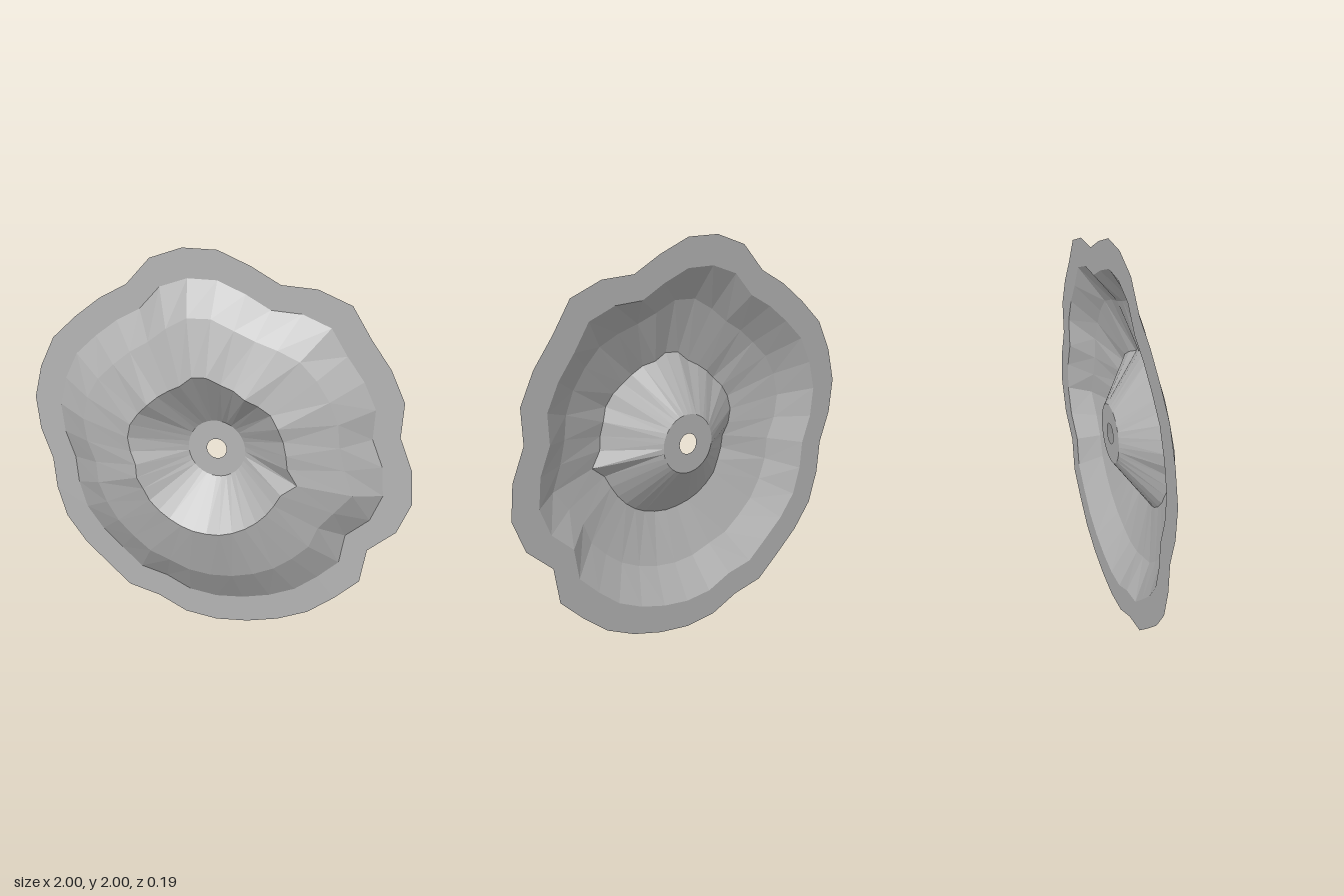
import * as THREE from 'three';

const N = 36;          // sides per ring, 10 degrees each, clockwise from the top
const CENTER_Y = 0.99;
const BASE_Z = -0.1;

// Radius of the ragged outer outline
const OUTLINE = [
  1.01, 0.957, 0.918, 0.986, 1.028, 0.987, 0.99, 0.99, 0.935,
  0.985, 1.014, 0.99, 0.914, 0.993, 0.987, 0.995, 0.99, 0.987,
  0.99, 0.985, 0.955, 0.99, 0.972, 0.98, 0.986, 0.962, 0.934,
  0.98, 1.016, 1.02, 1.017, 0.98, 0.958, 0.94, 1.012, 1.026,
];
// Radius of the raised rim
const RIM = [
  0.428, 0.402, 0.403, 0.394, 0.405, 0.42, 0.416, 0.41, 0.408,
  0.409, 0.465, 0.405, 0.4, 0.4, 0.4, 0.4, 0.4, 0.4,
  0.4, 0.4, 0.4, 0.4, 0.4, 0.4, 0.39, 0.392, 0.38,
  0.404, 0.424, 0.426, 0.413, 0.4, 0.395, 0.393, 0.396, 0.428,
];
// Height (z) of the raised rim
const RIM_Z = [
  0.08, 0.07, 0.085, 0.095, 0.08, 0.075, 0.085, 0.07, 0.075,
  0.07, 0.065, 0.075, 0.07, 0.07, 0.07, 0.075, 0.08, 0.085,
  0.08, 0.08, 0.075, 0.07, 0.07, 0.07, 0.075, 0.085, 0.08,
  0.07, 0.07, 0.075, 0.07, 0.08, 0.07, 0.07, 0.075, 0.075,
];

// A closed ring of points from radius and z rules
function ring(radius, z) {
  return Array.from({ length: N }, (_, i) => {
    const a = (i / N) * Math.PI * 2;
    return [radius(i) * Math.sin(a), CENTER_Y + radius(i) * Math.cos(a), z(i)];
  });
}

// Faceted bands joining successive rings, listed from inside to outside
function bands(name, rings, material) {
  const positions = [];
  for (let k = 0; k < rings.length - 1; k++) {
    const inner = rings[k], outer = rings[k + 1];
    for (let i = 0; i < N; i++) {
      const j = (i + 1) % N;
      positions.push(...inner[i], ...inner[j], ...outer[j]);
      positions.push(...inner[i], ...outer[j], ...outer[i]);
    }
  }
  const geometry = new THREE.BufferGeometry();
  geometry.setAttribute('position', new THREE.Float32BufferAttribute(positions, 3));
  geometry.computeVertexNormals();
  const mesh = new THREE.Mesh(geometry, material);
  mesh.name = name;
  return mesh;
}

export function createModel() {
  const stone = new THREE.MeshStandardMaterial({ color: 0xb4b4b4, side: THREE.DoubleSide, flatShading: true });
  stone.name = 'grey stone';

  const base = () => BASE_Z;
  const hole = ring(() => 0.052, base);
  const floorEdge = ring(() => 0.15, base);
  const rim = ring((i) => RIM[i], (i) => RIM_Z[i]);
  // Halfway down the slope the outline and rim irregularities blend
  const slope = ring(
    (i) => 0.34 * OUTLINE[i] + 0.83 * RIM[i],
    (i) => 0.005 + 0.3 * (RIM_Z[i] - 0.08),
  );
  const foot = ring((i) => 0.855 * OUTLINE[i], base);
  const outline = ring((i) => OUTLINE[i], base);

  const group = new THREE.Group();
  group.name = 'crater';
  group.add(
    bands('craterFloor', [hole, floorEdge], stone),
    bands('innerWall', [floorEdge, rim], stone),
    bands('outerSlope', [rim, slope, foot], stone),
    bands('flatApron', [foot, outline], stone),
  );
  return group;
}
